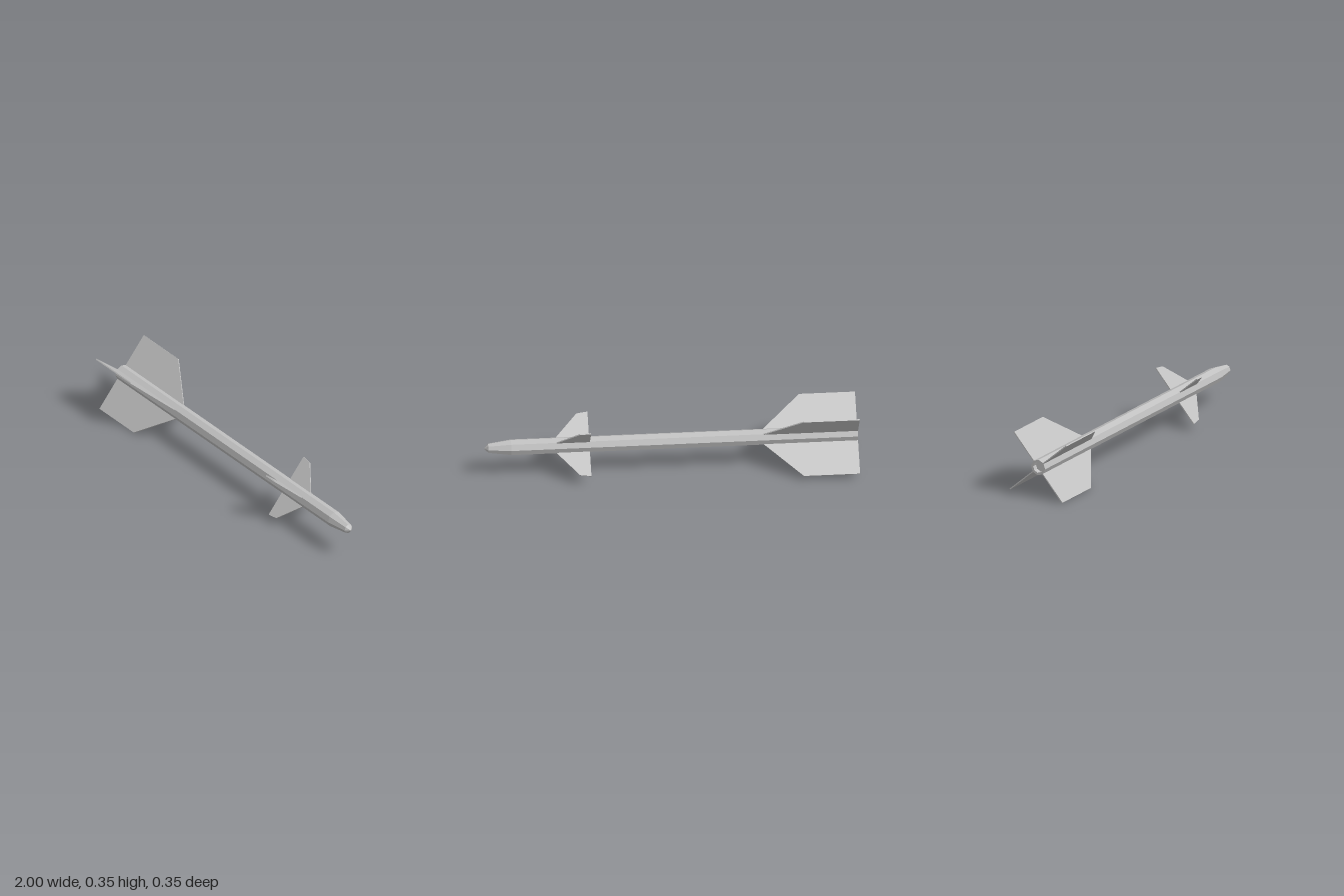
import * as THREE from 'three';

export function createModel() {
  const grey = new THREE.MeshStandardMaterial({ color: 0xc0c0c0 });
  grey.name = 'light grey';

  // Split vertices so every facet stays flat
  const faceted = (geometry) => {
    const flat = geometry.toNonIndexed();
    flat.computeVertexNormals();
    return flat;
  };

  const model = new THREE.Group();
  model.name = 'missile';
  const airframe = new THREE.Group();
  airframe.name = 'airframe';
  airframe.position.y = 0.1775;
  airframe.rotation.x = 0.077; // slight roll about the long axis
  model.add(airframe);

  // Eight-sided body: recessed tail, straight tube, tapered nose, blunt tip
  const profile = [
    [0, -0.97], [0.03, -0.97], [0.03, -1], [0.044, -1],
    [0.044, 0.855], [0.026, 0.977], [0, 1],
  ].map(([r, x]) => new THREE.Vector2(r, x));
  const body = new THREE.Mesh(faceted(new THREE.LatheGeometry(profile, 8)), grey);
  body.name = 'body';
  body.rotation.z = -Math.PI / 2;
  airframe.add(body);

  // Four identical thin fins set diagonally around the body
  const addFins = (name, outline, thickness) => {
    const shape = new THREE.Shape(outline.map(([x, r]) => new THREE.Vector2(x, r)));
    const geometry = new THREE.ExtrudeGeometry(shape, { depth: thickness, bevelEnabled: false });
    geometry.translate(0, 0, -thickness / 2);
    for (let i = 0; i < 4; i++) {
      const fin = new THREE.Mesh(geometry, grey);
      fin.name = name + (i + 1);
      fin.rotation.x = Math.PI / 4 + (i * Math.PI) / 2;
      airframe.add(fin);
    }
  };
  addFins('tailFin', [[-1, 0.038], [-0.49, 0.038], [-0.7, 0.23], [-1, 0.23]], 0.006);
  addFins('frontFin', [[0.435, 0.038], [0.618, 0.038], [0.495, 0.173], [0.435, 0.181]], 0.006);

  return model;
}
